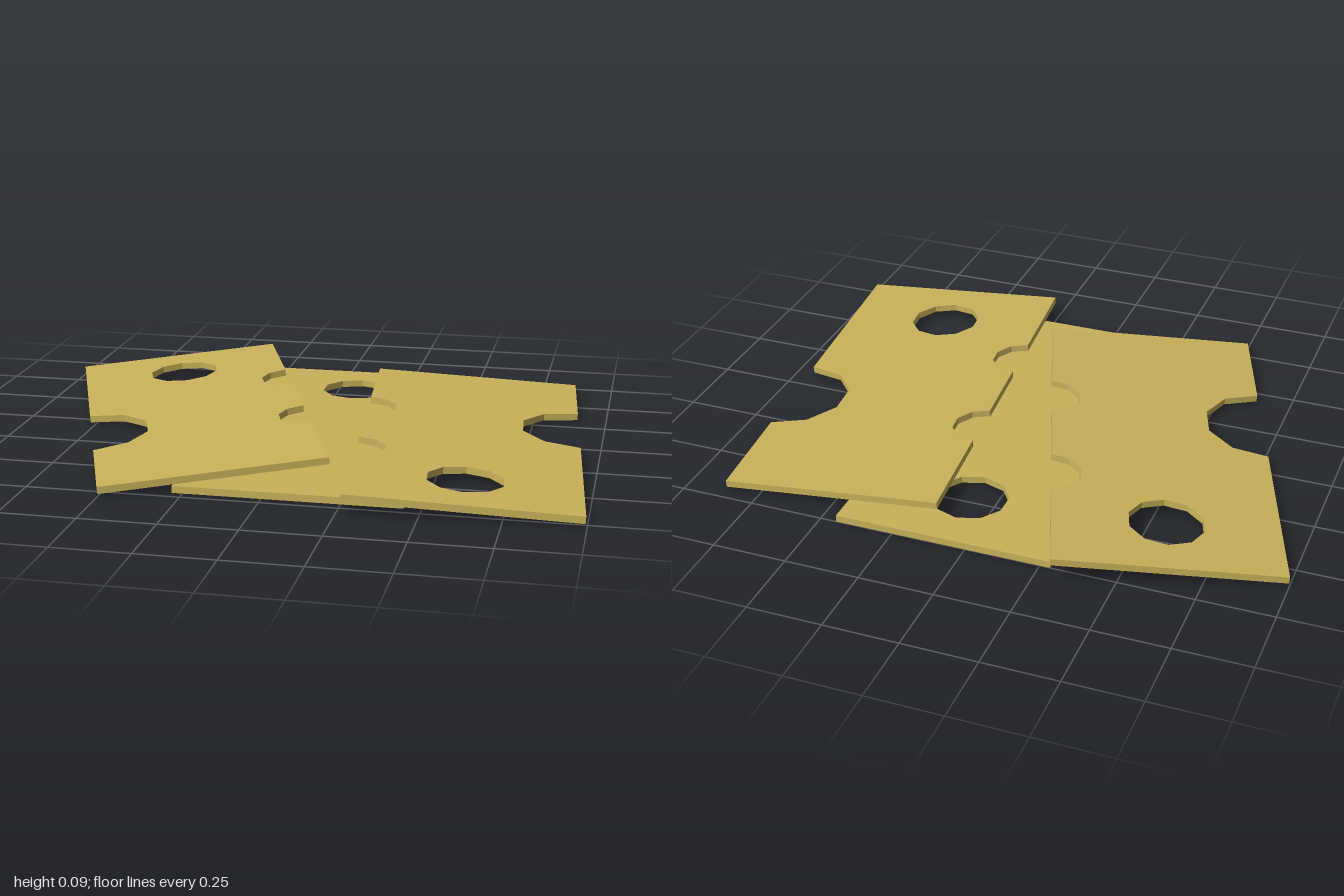
import * as THREE from 'three';

const W = 0.365, H = 0.7325, T = 0.023; // half width, half length, thickness

// ten-sided arc points about (cx, cy), stepping by 36 degrees
function arc(cx, cy, r, startDeg, stepDeg, count) {
  return Array.from({ length: count }, (_, i) => {
    const a = THREE.MathUtils.degToRad(startDeg + i * stepDeg);
    return new THREE.Vector2(cx + r * Math.cos(a), cy + r * Math.sin(a));
  });
}

// flat card with one large bite, two small bites and a round hole
function plateGeometry() {
  const shape = new THREE.Shape([
    new THREE.Vector2(-W, -H),
    new THREE.Vector2(W, -H),
    ...arc(W, -0.241, 0.1, 270, -36, 6),
    ...arc(W, 0.241, 0.1, 270, -36, 6),
    new THREE.Vector2(W, H),
    new THREE.Vector2(-W, H),
    ...arc(-W, -0.15, 0.2, 90, -36, 6),
  ]);
  shape.holes.push(new THREE.Path(arc(0, 0.485, 0.125, 90, -36, 10)));
  const geometry = new THREE.ExtrudeGeometry(shape, { depth: T, bevelEnabled: false });
  geometry.rotateX(-Math.PI / 2);
  geometry.translate(0, -T, 0); // top face at y = 0
  return geometry;
}

export function createModel() {
  const group = new THREE.Group();
  const geometry = plateGeometry();
  const material = new THREE.MeshStandardMaterial({ color: 0xc8b25a, flatShading: true });

  // name, top-centre position, turn about y, tilt about the long axis
  const plates = [
    ['bottomPlate', [0.08, T, -0.0175], 0, 0],
    ['rightLeaningPlate', [-0.409, 0.0625, -0.0175], 0.346, 0.089],
    ['leftLeaningPlate', [0.569, 0.05, 0.061], Math.PI + 0.087, 0.056],
  ];
  for (const [name, position, turn, tilt] of plates) {
    const plate = new THREE.Mesh(geometry, material);
    plate.name = name;
    plate.position.set(...position);
    plate.rotation.set(0, turn, tilt, 'YXZ');
    group.add(plate);
  }
  return group;
}
